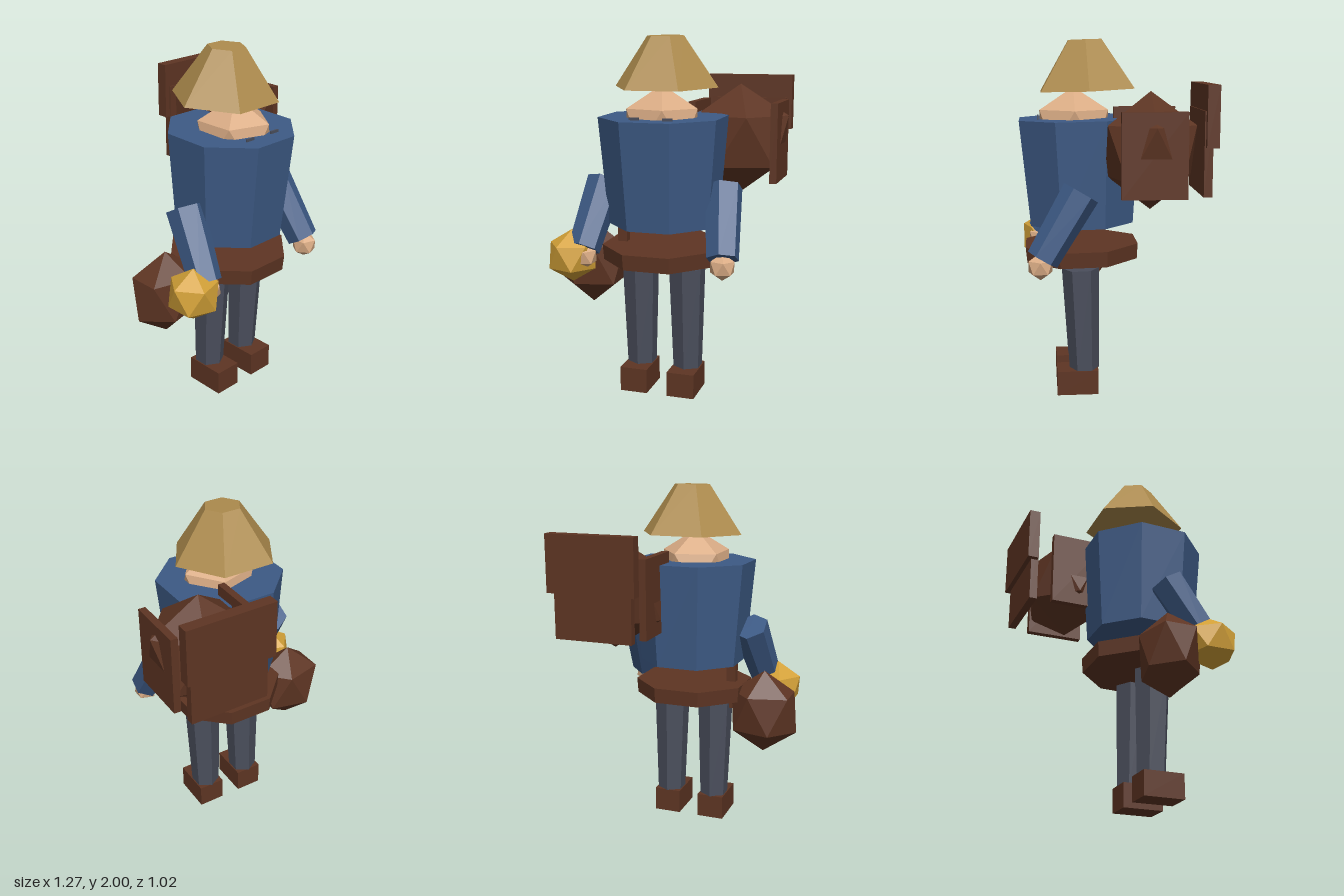
import * as THREE from 'three';

const mat = (name, color) => {
  const m = new THREE.MeshStandardMaterial({ color });
  m.name = name;
  m.flatShading = true;
  return m;
};

export function createModel() {
  const model = new THREE.Group();
  model.name = 'traveller';
  const straw = mat('straw', 0xad8b4d);
  const skin = mat('skin', 0xdaac85);
  const cloth = mat('blue cloth', 0x3d5a85);
  const leather = mat('leather', 0x5e3523);
  const trousers = mat('grey trousers', 0x4a4e5c);
  const gold = mat('gold', 0xd2a037);

  const add = (name, geo, material, x, y, z) => {
    const mesh = new THREE.Mesh(geo, material);
    mesh.name = name;
    mesh.position.set(x, y, z);
    model.add(mesh);
    return mesh;
  };
  // box given by its extents on each axis
  const box = (name, material, [x0, x1], [y0, y1], [z0, z1]) =>
    add(name, new THREE.BoxGeometry(x1 - x0, y1 - y0, z1 - z0), material,
      (x0 + x1) / 2, (y0 + y1) / 2, (z0 + z1) / 2);
  // icosahedron standing on a vertex, an upper ring vertex facing +x
  const gem = (name, material, [x, y, z], rx, ry = rx, rz = rx) => {
    const geo = new THREE.IcosahedronGeometry(1, 0);
    geo.rotateZ(-Math.atan(2 / (1 + Math.sqrt(5))));
    geo.scale(rx, ry, rz);
    return add(name, geo, material, x, y, z);
  };
  // tapered prism between two points
  const limb = (name, material, top, bottom, rTop, rBottom, sides, start = 0) => {
    const a = new THREE.Vector3(...top), b = new THREE.Vector3(...bottom);
    const axis = a.clone().sub(b);
    const geo = new THREE.CylinderGeometry(rTop, rBottom, axis.length(), sides, 1, false, start);
    const c = a.add(b).multiplyScalar(0.5);
    const mesh = add(name, geo, material, c.x, c.y, c.z);
    mesh.quaternion.setFromUnitVectors(new THREE.Vector3(0, 1, 0), axis.normalize());
    return mesh;
  };

  // head and hat
  limb('hat', straw, [0.01, 2.0, 0.14], [0.01, 1.725, 0.13], 0.105, 0.297, 6, Math.PI / 6);
  gem('head', skin, [0.01, 1.515, 0.205], 0.225);
  for (const x of [-0.08, 0.105])
    box('eye', trousers, [x - 0.028, x + 0.028], [1.53, 1.578], [0.401, 0.41]);

  // body
  limb('torso', cloth, [0.01, 1.568, 0.177], [0.01, 0.977, 0.165], 0.36, 0.31, 8, Math.PI / 8);
  limb('belt', leather, [0.005, 0.855, 0.167], [0.005, 0.768, 0.165], 0.343, 0.336, 8, Math.PI / 8);

  // arms, hands, legs and boots
  for (const s of [-1, 1]) {
    const side = s > 0 ? 'left' : 'right';
    limb(side + 'Arm', cloth, [0.01 + s * 0.345, 1.193, 0.18], [0.01 + s * 0.395, 0.843, 0.39], 0.105, 0.09, 6);
    gem(side + 'Hand', skin, [0.015 + s * 0.392, 0.805, 0.402], 0.075);
    limb(side + 'Leg', trousers, [0.01 + s * 0.138, 0.73, 0.175], [0.01 + s * 0.138, 0.135, 0.158], 0.105, 0.084, 6);
    const x = 0.01 + s * 0.138;
    box(side + 'Boot', leather, [x - 0.079, x + 0.079], [0, 0.14], [0.08, 0.315]);
  }

  // lantern in the right hand
  gem('lantern', gold, [-0.46, 0.797, 0.375], 0.15).rotation.y = Math.PI;

  // hip satchel and its strap
  gem('satchel', leather, [-0.44, 0.705, 0.13], 0.22, 0.245, 0.17);
  box('satchelStrap', leather, [-0.255, -0.2], [0.69, 0.978], [0.16, 0.205]);

  // backpack with side boards and two back boards
  gem('backpack', leather, [0.355, 1.415, -0.19], 0.313, 0.315, 0.275);
  for (const x of [0.115, 0.585])
    box('backpackSideBoard', leather, [x - 0.02, x + 0.02], [1.19, 1.635], [-0.355, -0.013]);
  box('backpackLowerBoard', leather, [0.125, 0.575], [1.195, 1.637], [-0.485, -0.44]);
  box('backpackUpperBoard', leather, [0.095, 0.605], [1.452, 1.77], [-0.512, -0.447]);

  return model;
}
